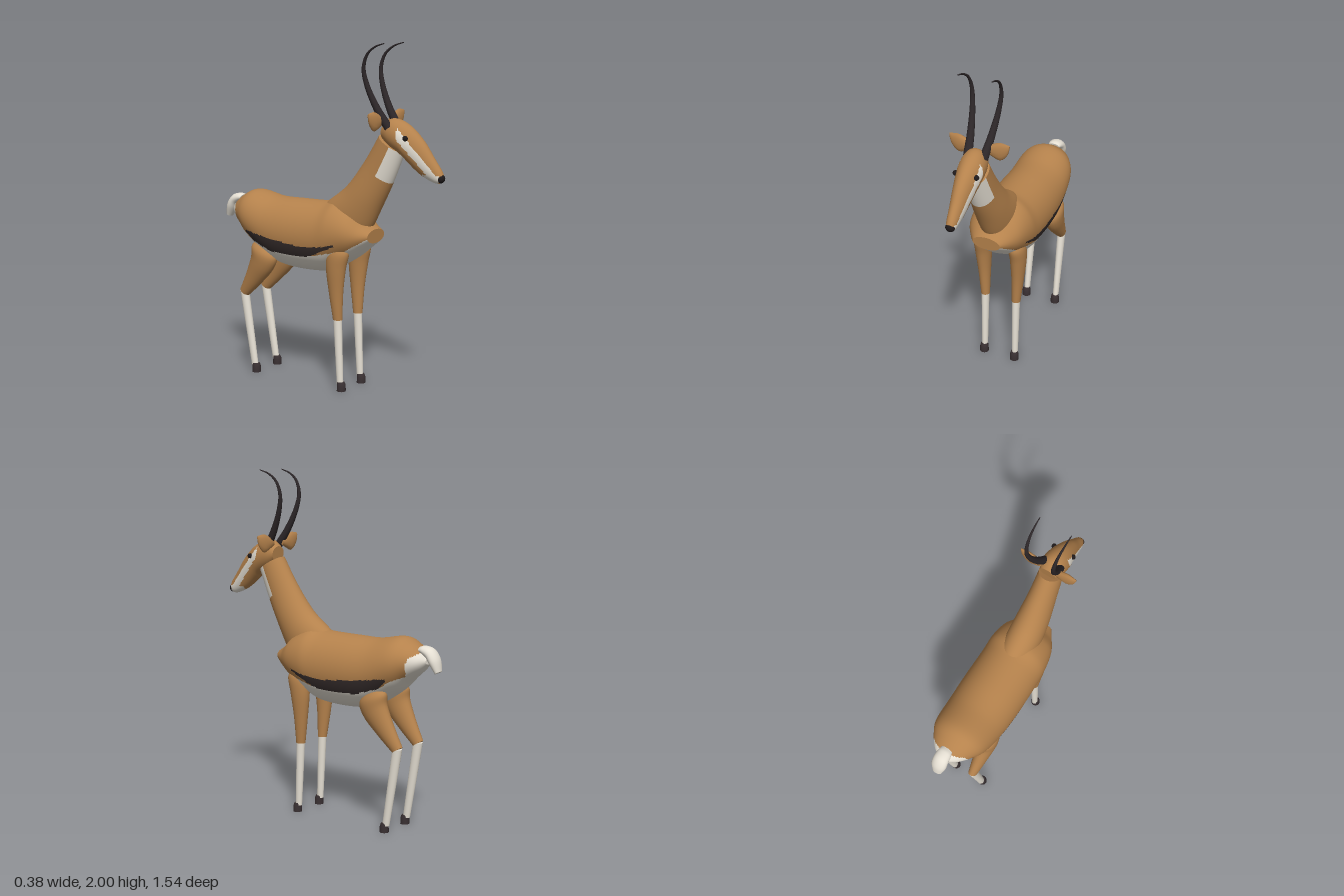
import * as THREE from 'three';

const mat = (name, color) => {
  const m = new THREE.MeshStandardMaterial({ color });
  m.name = name;
  return m;
};
const tan = mat('tan coat', 0xb5824c);
const white = mat('white coat', 0xe6e0d4);
const stripe = mat('dark flank stripe', 0x352c2b);
const horn = mat('horn', 0x2c2628);
const hoof = mat('hoof', 0x393032);
const black = mat('eye and nose', 0x1f1a1b);

// Catmull-Rom through rows of numbers
function rowAt(rows, s) {
  const n = rows.length - 1, i = Math.min(Math.floor(s), n - 1), f = s - i;
  const [p, a, b, q] = [i - 1, i, i + 1, i + 2].map(k => rows[Math.max(0, Math.min(n, k))]);
  return a.map((_, k) => 0.5 * (2 * a[k] + (b[k] - p[k]) * f
    + (2 * p[k] - 5 * a[k] + 4 * b[k] - q[k]) * f * f
    + (3 * a[k] - p[k] - 3 * b[k] + q[k]) * f * f * f));
}

// piecewise linear curve through [x, y] pairs sorted by falling x
function lerpAt(pts, x) {
  for (let i = 1; i < pts.length; i++) {
    const [x0, y0] = pts[i - 1], [x1, y1] = pts[i];
    if (x >= x1) return y0 + (y1 - y0) * Math.min(1, Math.max(0, (x - x0) / (x1 - x0)));
  }
  return pts[pts.length - 1][1];
}

// Closed loft. Each row: centre xyz, first half axis xyz, second half axis xyz.
// pick(x, y, z, angle, s) gives the material index of a face.
function loft(name, rows, mats, { seg = 24, sub = 6, pick = () => 0 } = {}) {
  const pos = [], faces = mats.map(() => []), rings = (rows.length - 1) * sub;
  for (let i = 0; i <= rings; i++) {
    const r = rowAt(rows, i / sub);
    for (let j = 0; j < seg; j++) {
      const t = j / seg * Math.PI * 2, c = Math.cos(t), d = Math.sin(t);
      for (let k = 0; k < 3; k++) pos.push(r[k] + r[3 + k] * c + r[6 + k] * d);
    }
  }
  for (let i = 0; i < rings; i++) for (let j = 0; j < seg; j++) {
    const k = (j + 1) % seg, a = i * seg + j, b = i * seg + k, c = a + seg, d = b + seg;
    const m = [0, 1, 2].map(e => (pos[a * 3 + e] + pos[b * 3 + e] + pos[c * 3 + e] + pos[d * 3 + e]) / 4);
    faces[pick(...m, (j + 0.5) / seg * Math.PI * 2, (i + 0.5) / sub)].push(a, b, c, b, d, c);
  }
  // flat end caps on their own vertices
  for (const [ring, flip] of [[0, false], [rings, true]]) {
    const o = pos.length / 3, c = rowAt(rows, ring / sub).slice(0, 3);
    const list = faces[pick(...c, 0, ring / sub)];
    pos.push(...pos.slice(ring * seg * 3, (ring + 1) * seg * 3), ...c);
    for (let j = 0; j < seg; j++) {
      const a = o + j, b = o + (j + 1) % seg;
      list.push(...(flip ? [a, b, o + seg] : [b, a, o + seg]));
    }
  }
  // turn the faces outward if the signed volume is negative
  const v = i => new THREE.Vector3().fromArray(pos, i * 3);
  let volume = 0;
  for (const f of faces) for (let i = 0; i < f.length; i += 3) volume += v(f[i]).dot(v(f[i + 1]).cross(v(f[i + 2])));
  if (volume < 0) faces.forEach(f => f.reverse());
  const g = new THREE.BufferGeometry();
  g.setAttribute('position', new THREE.Float32BufferAttribute(pos, 3));
  g.setIndex(faces.flat());
  let start = 0;
  faces.forEach((f, i) => { if (f.length) g.addGroup(start, f.length, i); start += f.length; });
  g.computeVertexNormals();
  const mesh = new THREE.Mesh(g, mats);
  mesh.name = name;
  return mesh;
}

// row from two opposite points in the side plane, a half width and an x offset
const span = (ay, az, by, bz, w, x = 0) =>
  [x, (ay + by) / 2, (az + bz) / 2, 0, (ay - by) / 2, (az - bz) / 2, w, 0, 0];
// row for a level ring
const level = (x, y, z, rx, rz) => [x, y, z, rx, 0, 0, 0, 0, rz];

function ball(name, m, r, p, scale = [1, 1, 1]) {
  const mesh = new THREE.Mesh(new THREE.SphereGeometry(r, 16, 12), m);
  mesh.position.set(...p);
  mesh.scale.set(...scale);
  mesh.name = name;
  return mesh;
}

function makeHorn(s) {
  const curve = new THREE.CatmullRomCurve3([
    [0.046, 1.535, 0.44], [0.06, 1.64, 0.37], [0.076, 1.77, 0.312], [0.085, 1.86, 0.297],
    [0.09, 1.934, 0.323], [0.094, 1.976, 0.376], [0.096, 1.997, 0.44],
  ].map(([x, y, z]) => new THREE.Vector3(s * x, y, z)));
  const steps = 40, sides = 12, g = new THREE.TubeGeometry(curve, steps, 0.025, sides);
  const p = g.attributes.position, v = new THREE.Vector3();
  for (let i = 0; i < p.count; i++) {
    const u = Math.floor(i / (sides + 1)) / steps, c = curve.getPointAt(u);
    v.fromBufferAttribute(p, i).sub(c).multiplyScalar(1 - 0.9 * u).add(c);
    p.setXYZ(i, v.x, v.y, v.z);
  }
  g.computeVertexNormals();
  const mesh = new THREE.Mesh(g, horn);
  mesh.name = s > 0 ? 'leftHorn' : 'rightHorn';
  return mesh;
}

export function createModel() {
  const model = new THREE.Group();
  model.name = 'antelope';

  // Body with white belly, white rump and dark flank stripe
  const belly = [[0.33, 0.91], [0.2, 0.83], [0, 0.79], [-0.05, 0.775], [-0.3, 0.775], [-0.45, 0.82],
    [-0.52, 0.865], [-0.6, 0.9], [-0.62, 1.0], [-0.66, 1.03]];
  const stripeTop = [[0.15, 0.866], [0.05, 0.845], [-0.1, 0.837], [-0.25, 0.85], [-0.5, 0.882]];
  const stripeLow = [[0.15, 0.856], [0, 0.79], [-0.05, 0.775], [-0.3, 0.775], [-0.45, 0.82], [-0.5, 0.865]];
  model.add(loft('body', [
    span(0.955, 0.328, 0.875, 0.325, 0.085), span(0.99, 0.275, 0.83, 0.27, 0.122),
    span(1.06, 0.2, 0.775, 0.2, 0.163), span(1.1, 0.1, 0.715, 0.1, 0.184),
    span(1.085, 0, 0.675, 0, 0.187), span(1.08, -0.2, 0.668, -0.2, 0.189),
    span(1.08, -0.36, 0.695, -0.35, 0.183), span(1.105, -0.52, 0.785, -0.5, 0.167),
    span(1.075, -0.6, 0.86, -0.58, 0.13), span(1.03, -0.66, 0.92, -0.65, 0.08),
    span(1.0, -0.69, 0.965, -0.69, 0.03),
  ], [tan, white, stripe], {
    seg: 160, sub: 10,
    pick: (x, y, z) => {
      if (z < 0.15 && z > -0.5 && y > lerpAt(stripeLow, z) && y < lerpAt(stripeTop, z)) return 2;
      return y < lerpAt(belly, z) ? 1 : 0;
    },
  }));

  // Neck with a white throat patch
  model.add(loft('neck', [
    span(0.88, 0.24, 1.03, -0.03, 0.09), span(0.96, 0.298, 1.083, 0, 0.1),
    span(1.08, 0.36, 1.19, 0.14, 0.093), span(1.224, 0.434, 1.34, 0.26, 0.078),
    span(1.4, 0.51, 1.49, 0.355, 0.068),
  ], [tan, white], { seg: 48, sub: 8, pick: (x, y, z, t, s) => (s > 3 && s < 4 && Math.cos(t) > 0.2 ? 1 : 0) }));

  // Head with white cheek streaks and chin
  model.add(loft('head', [
    span(1.55, 0.385, 1.46, 0.392, 0.05), span(1.585, 0.43, 1.42, 0.44, 0.069),
    span(1.58, 0.49, 1.38, 0.515, 0.073), span(1.54, 0.565, 1.35, 0.545, 0.064),
    span(1.47, 0.64, 1.305, 0.6, 0.051), span(1.39, 0.7, 1.275, 0.65, 0.04),
    span(1.33, 0.745, 1.252, 0.71, 0.031), span(1.3, 0.762, 1.25, 0.74, 0.024),
  ], [tan, white], {
    seg: 64, sub: 10,
    pick: (x, y, z, t) => {
      const off = (y - 1.515) * 0.682 + (z - 0.5) * 0.731;
      const streak = z > 0.5 && z < 0.73 && off > -0.022 && off < 0.02 && Math.abs(Math.sin(t)) > 0.5;
      return streak || (z > 0.645 && z < 0.75 && y < 1.295) ? 1 : 0;
    },
  }));
  model.add(ball('nose', black, 0.027, [0, 1.278, 0.75], [1, 0.9, 0.75]));

  // Tail
  model.add(loft('tail', [
    span(1.06, -0.64, 1.025, -0.65, 0.035), span(1.067, -0.67, 1.012, -0.67, 0.042),
    span(1.052, -0.72, 0.995, -0.69, 0.046), span(1.0, -0.757, 0.965, -0.708, 0.045),
    span(0.935, -0.77, 0.918, -0.74, 0.028),
  ], [white]));

  // Paired parts
  for (const s of [1, -1]) {
    const side = s > 0 ? 'left' : 'right';
    model.add(makeHorn(s), ball(side + 'Eye', black, 0.015, [s * 0.061, 1.488, 0.556]));
    const ear = (x, top, low, d) => [s * x, (top + low) / 2, 0.392, 0, (top - low) / 2, 0, 0, 0, d];
    model.add(loft(side + 'Ear', [
      ear(0.04, 1.59, 1.555, 0.012), ear(0.075, 1.61, 1.537, 0.018), ear(0.12, 1.627, 1.52, 0.018),
      ear(0.16, 1.623, 1.555, 0.011), ear(0.175, 1.62, 1.6, 0.004),
    ], [tan], { seg: 12, sub: 3 }));

    // Front leg
    model.add(loft(side + 'FrontThigh', [
      level(s * 0.1, 0.86, 0.15, 0.025, 0.04), level(s * 0.108, 0.81, 0.143, 0.047, 0.069),
      level(s * 0.111, 0.72, 0.13, 0.046, 0.062), level(s * 0.107, 0.58, 0.128, 0.036, 0.044),
      level(s * 0.1, 0.42, 0.135, 0.026, 0.028),
    ], [tan]));
    model.add(loft(side + 'FrontShin', [
      level(s * 0.1, 0.42, 0.135, 0.023, 0.026), level(s * 0.1, 0.04, 0.152, 0.018, 0.02),
    ], [white], { sub: 1 }));

    // Hind leg
    model.add(loft(side + 'HindThigh', [
      span(0.785, -0.35, 0.825, -0.44, 0.03, s * 0.1), span(0.72, -0.31, 0.79, -0.482, 0.056, s * 0.108),
      span(0.642, -0.345, 0.725, -0.487, 0.055, s * 0.108), span(0.555, -0.43, 0.615, -0.532, 0.042, s * 0.104),
      span(0.466, -0.53, 0.503, -0.588, 0.027, s * 0.1),
    ], [tan]));
    model.add(loft(side + 'HindShin', [
      level(s * 0.1, 0.49, -0.558, 0.025, 0.029), level(s * 0.1, 0.04, -0.484, 0.018, 0.022),
    ], [white], { sub: 1 }));

    // Hooves
    for (const [end, z] of [['Front', 0.161], ['Hind', -0.473]]) {
      model.add(loft(side + end + 'Hoof', [
        level(s * 0.1, 0, z, 0.027, 0.026), level(s * 0.1, 0.035, z, 0.026, 0.025),
        level(s * 0.1, 0.054, z - 0.004, 0.021, 0.021),
      ], [hoof], { seg: 16, sub: 2 }));
    }
  }
  return model;
}
